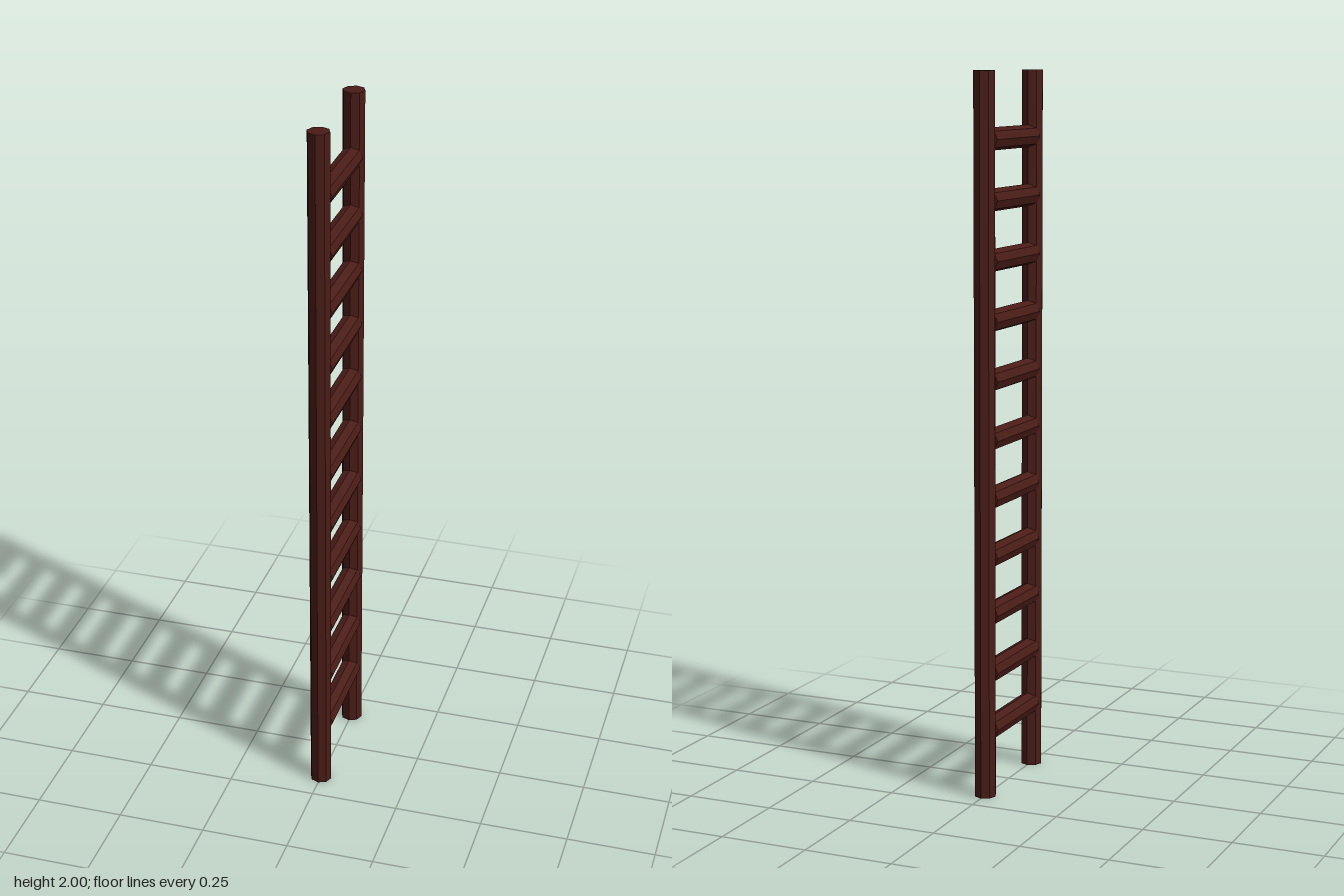
import * as THREE from 'three';

export function createModel() {
  const group = new THREE.Group();
  const wood = new THREE.MeshStandardMaterial({ color: 0x4a1c17, flatShading: true });
  const radius = 0.031;
  const sides = 8;

  // Two upright rails
  const railGeometry = new THREE.CylinderGeometry(radius, radius, 2, sides);
  for (const side of [1, -1]) {
    const rail = new THREE.Mesh(railGeometry, wood);
    rail.name = side > 0 ? 'frontRail' : 'backRail';
    rail.position.set(0, 1, side * 0.163);
    group.add(rail);
  }

  // Evenly spaced rungs, their ends sunk into the rails
  const rungGeometry = new THREE.CylinderGeometry(radius, radius, 0.292, sides).rotateX(Math.PI / 2);
  for (let i = 0; i < 11; i++) {
    const rung = new THREE.Mesh(rungGeometry, wood);
    rung.name = `rung${i + 1}`;
    rung.position.y = 0.186 + i * 0.1632;
    group.add(rung);
  }

  return group;
}
